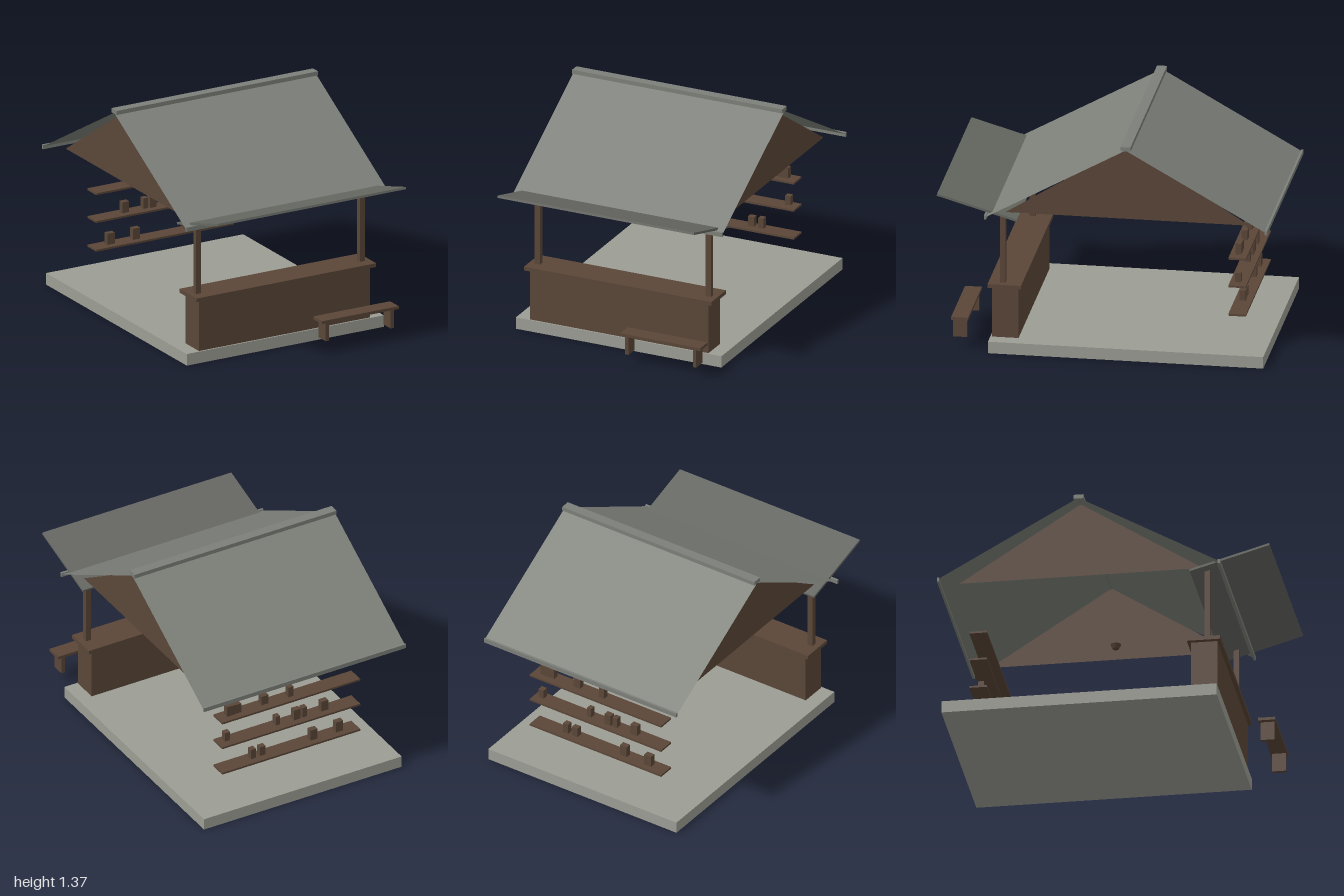
import * as THREE from 'three';

const mat = (name, color, side = THREE.FrontSide) => {
  const m = new THREE.MeshStandardMaterial({ color, side });
  m.name = name;
  return m;
};

export function createModel() {
  const stone = mat('stone', 0x9c9d94);
  const roofGrey = mat('roof grey', 0x7d8079, THREE.DoubleSide);
  const awningGrey = mat('awning grey', 0x666862);
  const wood = mat('wood', 0x5a4638, THREE.DoubleSide);

  const model = new THREE.Group();
  model.name = 'marketStall';

  const add = (name, geometry, material, parent = model) => {
    const mesh = new THREE.Mesh(geometry, material);
    mesh.name = name;
    parent.add(mesh);
    return mesh;
  };
  // Box given by its limits on each axis
  const box = (name, [x0, x1], [y0, y1], [z0, z1], material, parent) => {
    const mesh = add(name, new THREE.BoxGeometry(x1 - x0, y1 - y0, z1 - z0), material, parent);
    mesh.position.set((x0 + x1) / 2, (y0 + y1) / 2, (z0 + z1) / 2);
    return mesh;
  };
  const group = (name) => {
    const g = new THREE.Group();
    g.name = name;
    model.add(g);
    return g;
  };

  // Floor slab
  box('floor', [-0.68, 0.68], [0, 0.073], [-0.975, 0.685], stone);

  // Counter with overhanging top, and the two posts standing on it
  const counter = group('counter');
  box('counterBody', [-0.59, 0.59], [0.073, 0.393], [0.515, 0.675], wood, counter);
  box('counterTop', [-0.62, 0.62], [0.393, 0.417], [0.495, 0.697], wood, counter);
  for (const s of [-1, 1]) {
    box('post', [s * 0.565 - 0.0175, s * 0.565 + 0.0175], [0.417, 0.87], [0.595, 0.628], wood, counter);
  }

  // Roof: two thin sheets meeting at the ridge, a ridge cap and eave boards
  const roof = group('roof');
  const ridgeY = 1.345, ridgeZ = -0.147, eaveY = 0.87, halfX = 0.695;
  for (const [name, eaveZ] of [['frontSlope', 0.7], ['backSlope', -0.993]]) {
    const run = eaveZ - ridgeZ, drop = ridgeY - eaveY;
    const sheet = new THREE.PlaneGeometry(2 * halfX, Math.hypot(run, drop));
    sheet.rotateX(-Math.PI / 2);
    sheet.rotateX(Math.atan2(drop, Math.abs(run)) * Math.sign(run));
    add(name, sheet, roofGrey, roof).position.set(0, (ridgeY + eaveY) / 2, (ridgeZ + eaveZ) / 2);
    box('eaveBoard', [-halfX, halfX], [0.855, 0.882], [eaveZ - 0.007, eaveZ + 0.007], roofGrey, roof);
  }
  box('ridgeCap', [-halfX, halfX], [1.34, 1.366], [-0.177, -0.117], roofGrey, roof);

  // Triangular gables set in from the roof ends
  const triangle = new THREE.Shape([
    new THREE.Vector2(-0.59, 0.875),
    new THREE.Vector2(0.88, 0.875),
    new THREE.Vector2(-ridgeZ, ridgeY),
  ]);
  const gable = new THREE.ShapeGeometry(triangle).rotateY(Math.PI / 2);
  for (const s of [-1, 1]) add('gable', gable, wood, roof).position.x = s * 0.6;

  // Awning tilted up toward the front
  const rise = 0.138, depth = 0.482;
  const awning = add('awning', new THREE.BoxGeometry(1.3, 0.014, Math.hypot(rise, depth)), awningGrey);
  awning.rotation.x = -Math.atan2(rise, depth);
  awning.position.set(0, 0.911, 0.757);

  // Shelves with small goods: [centre x, width, height]
  const shelves = [
    { y: 0.252, goods: [[0.24, 0.035, 0.065], [0.175, 0.04, 0.06], [-0.177, 0.048, 0.07], [-0.353, 0.05, 0.07]] },
    { y: 0.433, goods: [[-0.252, 0.047, 0.068], [-0.114, 0.033, 0.066], [-0.063, 0.045, 0.07], [0.071, 0.03, 0.06], [0.418, 0.036, 0.058]] },
    { y: 0.609, goods: [[-0.02, 0.035, 0.068], [0.16, 0.047, 0.06], [0.346, 0.045, 0.062], [0.393, 0.056, 0.068]] },
  ];
  for (const { y, goods } of shelves) {
    const shelf = group('shelf');
    box('shelfBoard', [-0.475, 0.475], [y - 0.006, y + 0.006], [-0.838, -0.732], wood, shelf);
    for (const [x, w, h] of goods) {
      const mid = y + 0.044;
      box('goods', [x - w / 2, x + w / 2], [mid - h / 2, mid + h / 2], [-0.802, -0.766], wood, shelf);
    }
  }

  // Small hanging bowl inside
  add('bowl', new THREE.CylinderGeometry(0.032, 0.019, 0.028, 12), wood).position.set(-0.003, 0.675, -0.028);

  // Bench in front of the counter
  const bench = group('bench');
  box('seat', [0.12, 0.65], [0.188, 0.206], [0.81, 0.912], wood, bench);
  for (const x of [0.161, 0.609]) {
    box('benchLeg', [x - 0.011, x + 0.011], [0.072, 0.188], [0.82, 0.905], wood, bench);
  }

  return model;
}
